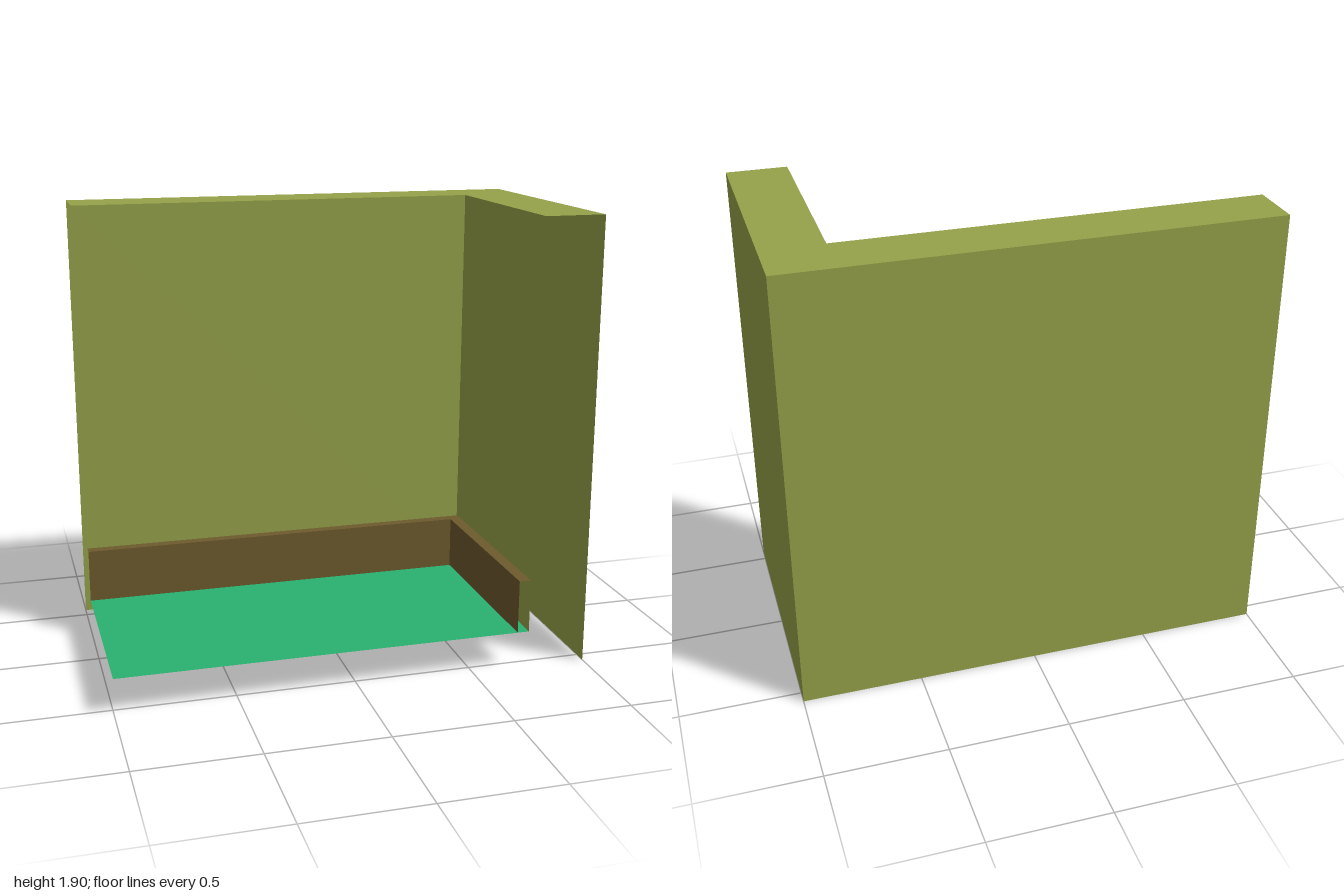
import * as THREE from 'three';

const LEFT = -1, FRONT = 0.555;
const INNER_X = 0.746, INNER_Z = -0.322, FLOOR_Y = 0.16;

function material(color) {
  return new THREE.MeshStandardMaterial({ color, flatShading: true, side: THREE.DoubleSide });
}

// Sweep an open cross-section round the L-shaped corner, leaving both ends open.
// Each section point is [corner x, corner z, height].
function cornerSweep(name, section, color) {
  const runs = section.map(([x, z, y]) => [[LEFT, y, z], [x, y, z], [x, y, FRONT]]);
  const positions = [];
  for (let i = 0; i < runs.length - 1; i++) {
    const a = runs[i], b = runs[i + 1];
    for (let k = 0; k < 2; k++) {
      positions.push(...a[k], ...b[k], ...b[k + 1], ...a[k], ...b[k + 1], ...a[k + 1]);
    }
  }
  const geometry = new THREE.BufferGeometry();
  geometry.setAttribute('position', new THREE.Float32BufferAttribute(positions, 3));
  geometry.computeVertexNormals();
  const mesh = new THREE.Mesh(geometry, material(color));
  mesh.name = name;
  return mesh;
}

export function createModel() {
  const group = new THREE.Group();
  group.name = 'roomCorner';

  // Hollow walls: outer skin, top, and inner skin down to the floor
  group.add(cornerSweep('walls', [
    [1, -0.555, 0],
    [1, -0.555, 1.9],
    [INNER_X, INNER_Z, 1.9],
    [INNER_X, INNER_Z, FLOOR_Y],
  ], 0x96a34a));

  // Skirting board: top ledge and face
  group.add(cornerSweep('skirtingBoard', [
    [INNER_X, INNER_Z + 0.006, 0.39],
    [0.696, -0.271, 0.39],
    [0.696, -0.271, FLOOR_Y],
  ], 0x6e5a2d));

  // Thin floor sheet
  const width = INNER_X - LEFT, depth = FRONT - INNER_Z;
  const floor = new THREE.Mesh(
    new THREE.PlaneGeometry(width, depth).rotateX(-Math.PI / 2),
    material(0x2ab06f));
  floor.position.set(LEFT + width / 2, FLOOR_Y, FRONT - depth / 2);
  floor.name = 'floor';
  group.add(floor);

  return group;
}
